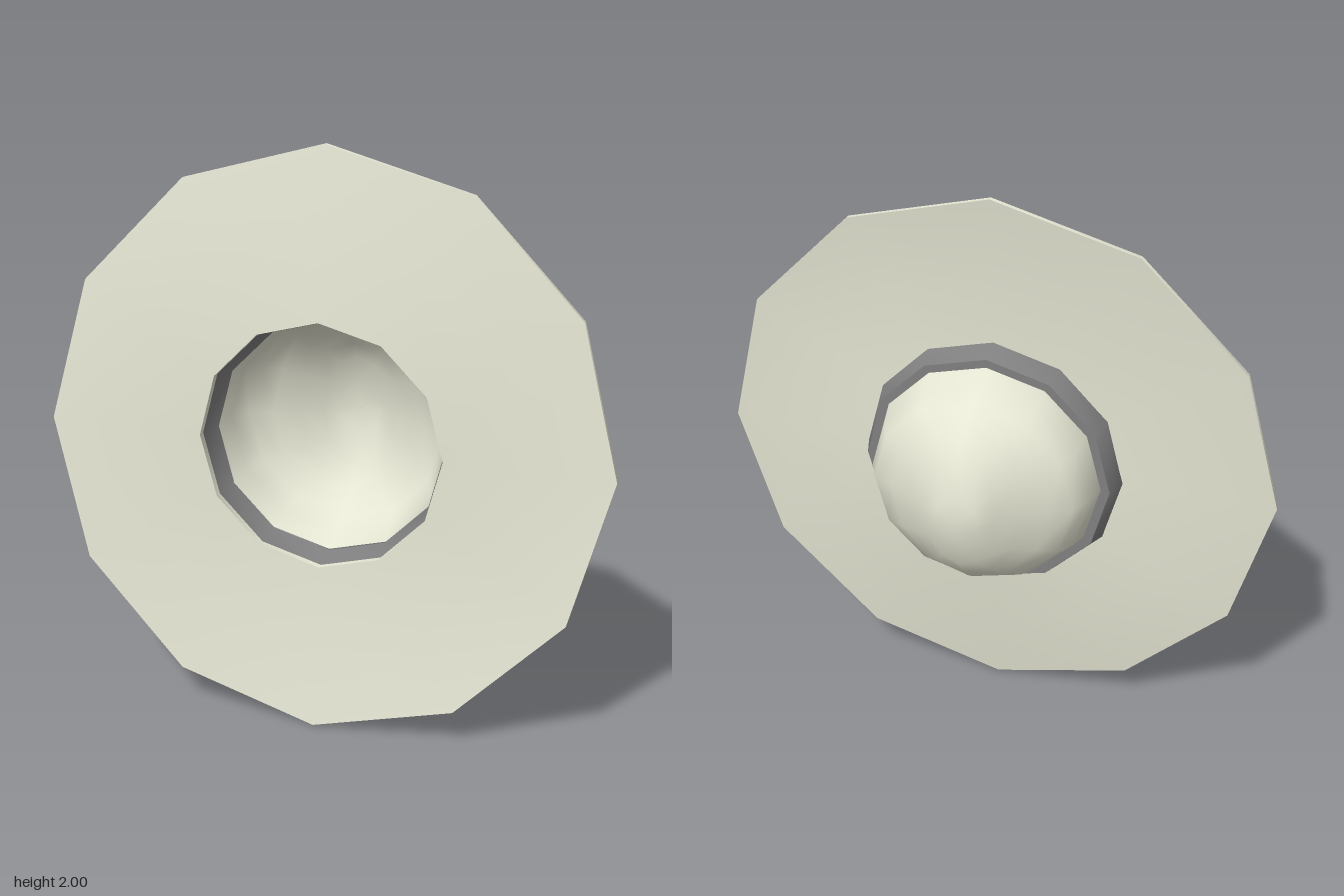
import * as THREE from 'three';
import { toCreasedNormals, mergeVertices } from 'three/addons/utils/BufferGeometryUtils.js';

const SIDES = 12;
const cream = new THREE.MeshStandardMaterial({ color: 0xe6e6d4, side: THREE.DoubleSide });
const grey = new THREE.MeshStandardMaterial({ color: 0x808080, side: THREE.DoubleSide });

// Twelve-sided turned shape about the z axis; bend(v, r) then moves each vertex.
function turned(name, profile, material, bend, crease) {
  let geo = new THREE.LatheGeometry(profile.map(([r, z]) => new THREE.Vector2(r, z)), SIDES);
  geo.rotateX(Math.PI / 2);
  const pos = geo.attributes.position;
  const v = new THREE.Vector3();
  for (let i = 0; i < pos.count; i++) {
    v.fromBufferAttribute(pos, i);
    bend(v, Math.hypot(v.x, v.y));
    pos.setXYZ(i, v.x, v.y + 1, v.z);
  }
  geo.deleteAttribute('normal');
  geo.deleteAttribute('uv');
  geo = toCreasedNormals(mergeVertices(geo, 1e-4), crease);
  const mesh = new THREE.Mesh(geo, material);
  mesh.name = name;
  return mesh;
}

export function createModel() {
  const hat = new THREE.Group();
  hat.name = 'hat';

  // Wide thin brim, tilted more towards its rim
  hat.add(turned('brim', [
    [0.43, 0.155], [0.72, 0.168], [1, 0.172], [1, 0.19], [0.72, 0.19], [0.43, 0.193], [0.43, 0.155],
  ], cream, (v, r) => {
    const t = THREE.MathUtils.clamp((r - 0.4) / 0.6, 0, 1);
    v.z += t * (-0.07 * v.y + 0.012 * v.x);
  }, 0.9));

  // Flared hat band between brim and crown
  hat.add(turned('band', [
    [0.408, 0.08], [0.442, 0.08], [0.47, 0.16], [0.43, 0.165], [0.408, 0.08],
  ], grey, (v) => { v.z -= 0.012 * v.y; }, 0.7));

  // Crown rings: z, half height, half width (pinched at the sides)
  const rings = [
    [-0.258, 0.001, 0.001], [-0.25, 0.08, 0.075], [-0.215, 0.2, 0.125], [-0.165, 0.265, 0.2],
    [-0.115, 0.315, 0.28], [-0.075, 0.345, 0.355], [0, 0.38, 0.392], [0.085, 0.41, 0.412],
  ];
  hat.add(turned('crown', rings.map(([z, h]) => [h, z]), cream, (v) => {
    const ring = rings.find(([z]) => Math.abs(z - v.z) < 1e-4);
    v.x *= ring[2] / ring[1];
    v.y += 0.006;
  }, 1.2));

  return hat;
}
